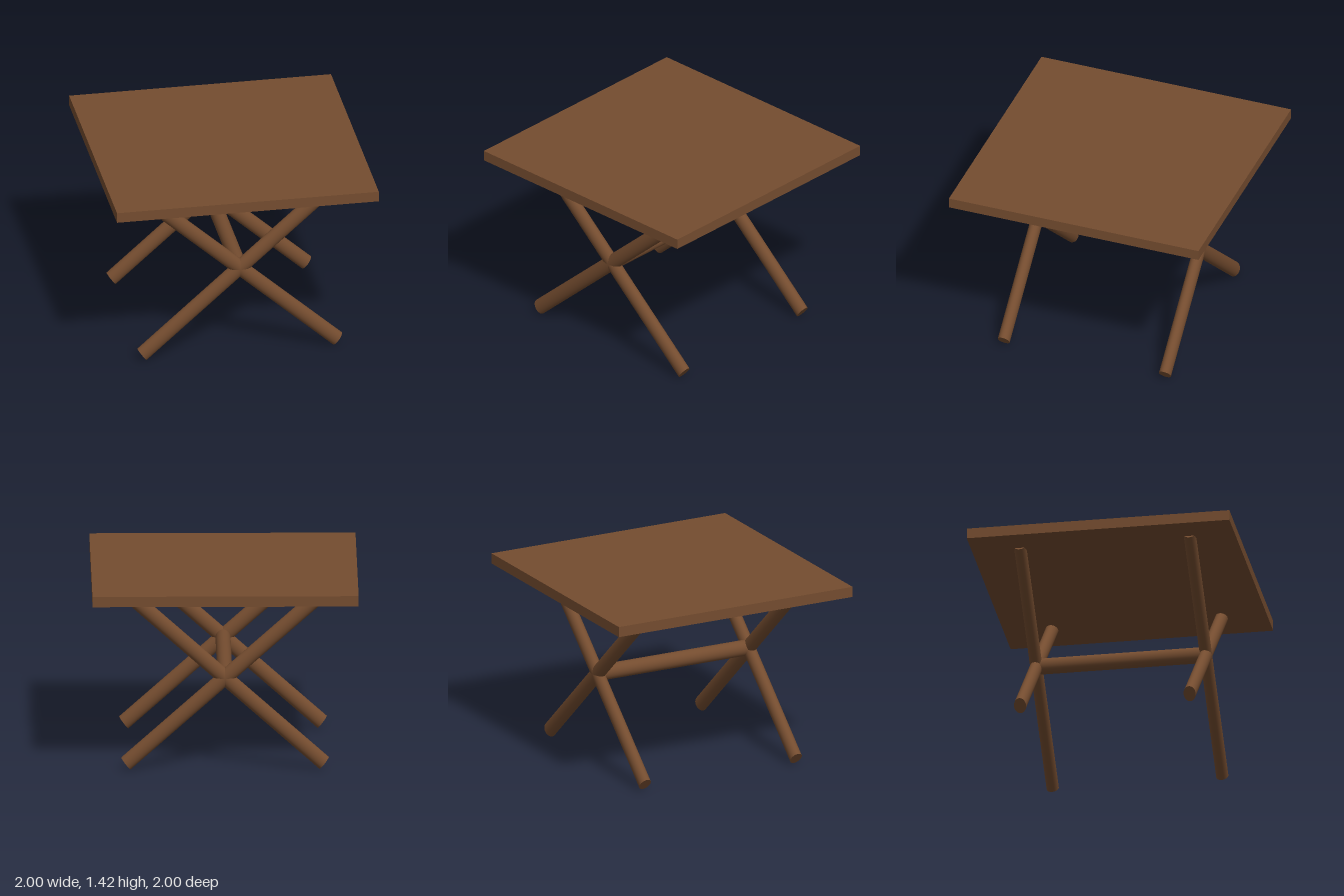
import * as THREE from 'three';

const wood = new THREE.MeshStandardMaterial({ color: 0x744c2f });

// Slanted oval leg: u is half its length, p half of its end cut, both in the xy plane
function makeLeg(side, z) {
  const p = new THREE.Vector3(0.035, -0.046 * side, 0);
  const u = new THREE.Vector3(0.745 * side, 0.663, 0);
  const w = new THREE.Vector3(0, 0, 0.046);
  const geometry = new THREE.CylinderGeometry(1, 1, 2, 32);
  geometry.applyMatrix4(new THREE.Matrix4().makeBasis(p, u, w));
  const leg = new THREE.Mesh(geometry, wood);
  leg.position.set(0, 0.71, z);
  return leg;
}

export function createModel() {
  const table = new THREE.Group();
  table.name = 'crossLegTable';

  // Square slab top
  const top = new THREE.Mesh(new THREE.BoxGeometry(2, 0.08, 2), wood);
  top.name = 'tabletop';
  top.position.y = 1.385;
  table.add(top);

  // Two crossed pairs of legs
  const frontZ = 0.655, backZ = -0.637;
  for (const [end, z] of [['front', frontZ], ['back', backZ]]) {
    const pair = new THREE.Group();
    pair.name = end + 'Legs';
    for (const side of [1, -1]) {
      const leg = makeLeg(side, z);
      leg.name = end + (side > 0 ? 'RisingLeftLeg' : 'RisingRightLeg');
      pair.add(leg);
    }
    table.add(pair);
  }

  // Stretcher joining the two crossings
  const rod = new THREE.CylinderGeometry(1, 1, frontZ - backZ, 32);
  rod.rotateX(Math.PI / 2).scale(0.057, 0.061, 1);
  const stretcher = new THREE.Mesh(rod, wood);
  stretcher.name = 'stretcher';
  stretcher.position.set(0, 0.711, (frontZ + backZ) / 2);
  table.add(stretcher);

  return table;
}
